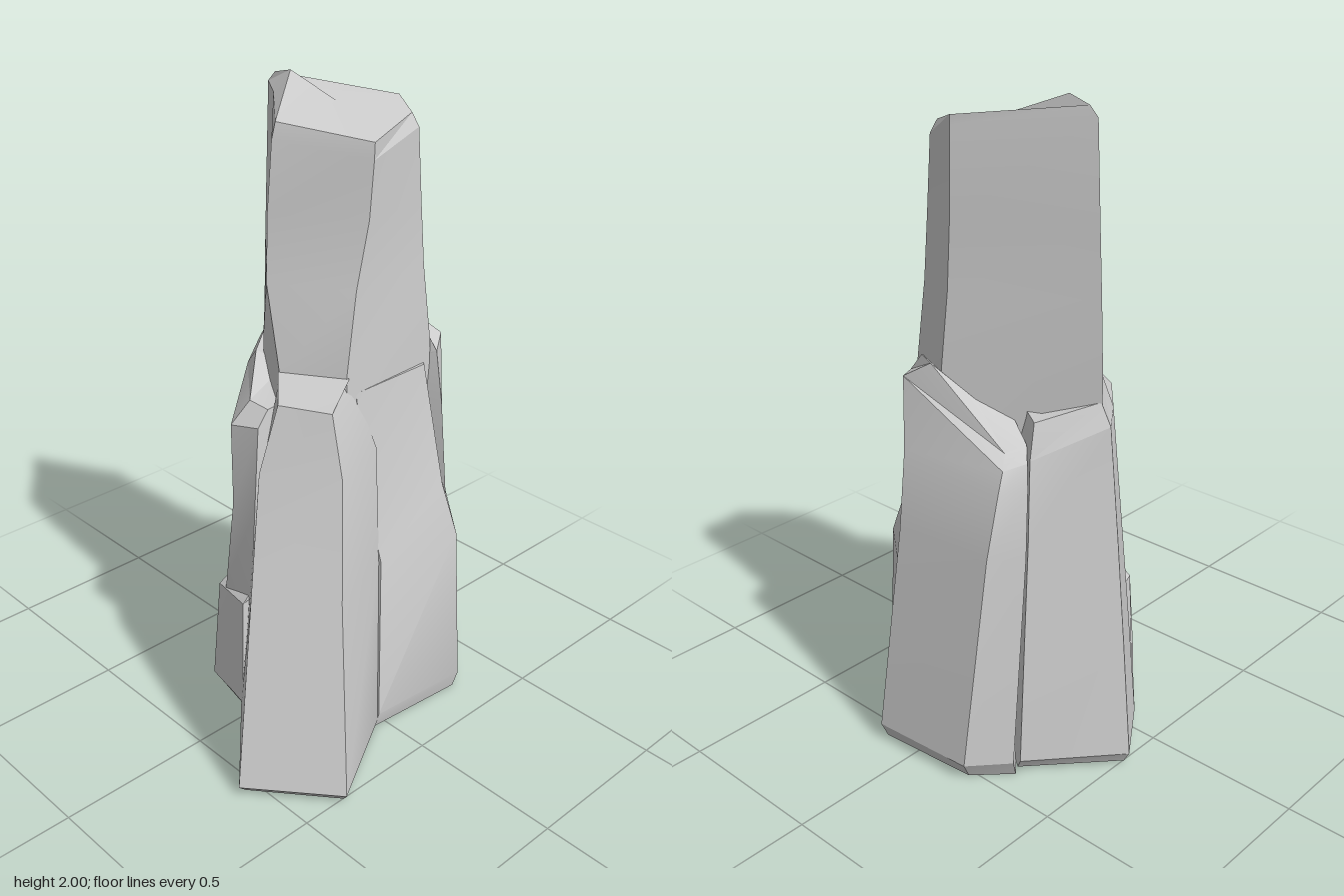
import * as THREE from 'three';
import { toCreasedNormals } from 'three/addons/utils/BufferGeometryUtils.js';

const material = new THREE.MeshStandardMaterial({ color: 0xcccccc });

// Skin a closed rock chunk over rings listed bottom to top; each ring runs
// counterclockwise seen from above and every point is [x, y, z].
function chunk(name, rings) {
  const n = rings[0].length;
  const positions = rings.flat(2);
  const index = [];
  for (let r = 0; r < rings.length - 1; r++) {
    for (let i = 0; i < n; i++) {
      const j = (i + 1) % n;
      const a = r * n + i, b = r * n + j;
      index.push(a, b, b + n, a, b + n, a + n);
    }
  }
  // end caps fan out from the middle of the ring
  const cap = (r, up) => {
    const centre = positions.length / 3;
    for (let k = 0; k < 3; k++) positions.push(rings[r].reduce((s, p) => s + p[k], 0) / n);
    for (let i = 0; i < n; i++) {
      const a = r * n + i, b = r * n + (i + 1) % n;
      index.push(centre, up ? a : b, up ? b : a);
    }
  };
  cap(0, false);
  cap(rings.length - 1, true);
  const geometry = new THREE.BufferGeometry();
  geometry.setAttribute('position', new THREE.Float32BufferAttribute(positions, 3));
  geometry.setIndex(index);
  const mesh = new THREE.Mesh(toCreasedNormals(geometry, 0.38), material);
  mesh.name = name;
  return mesh;
}

// A level ring from [x, z] pairs
const level = (y, ...points) => points.map(([x, z]) => [x, y, z]);

export function createModel() {
  const model = new THREE.Group();
  model.name = 'rockPillar';

  // Tall upper shaft with a slanted top
  model.add(chunk('shaft', [
    level(0.5, [0.02, 0.2], [0.22, 0.04], [0.2, -0.3], [0.04, -0.38], [-0.34, -0.12], [-0.2, 0.04]),
    level(1.2, [0.02, 0.16], [0.19, 0.05], [0.17, -0.33], [0.03, -0.37], [-0.365, -0.12], [-0.2, 0.03]),
    level(1.45, [-0.06, 0.135], [0.165, -0.01], [0.15, -0.31], [0.02, -0.345], [-0.355, -0.12], [-0.225, -0.01]),
    level(1.65, [-0.075, 0.115], [0.163, -0.06], [0.14, -0.3], [0.02, -0.33], [-0.345, -0.12], [-0.24, -0.04]),
    [[-0.08, 1.86, 0.09], [0.163, 1.82, -0.075], [0.13, 1.87, -0.29], [0.02, 1.91, -0.32], [-0.335, 1.95, -0.125], [-0.25, 1.94, -0.07]],
    [[-0.08, 1.91, 0.075], [0.16, 1.87, -0.08], [0.11, 1.91, -0.28], [0.02, 1.94, -0.32], [-0.31, 1.98, -0.13], [-0.23, 2, -0.12]],
  ]));

  // Sloping buttress running out to the front corner
  model.add(chunk('buttress', [
    level(0.005, [0.27, 0.54], [0.5, 0.35], [0.33, 0.04], [-0.02, 0.29]),
    level(0.035, [0.275, 0.57], [0.525, 0.36], [0.34, 0.04], [-0.02, 0.31]),
    level(0.6, [0.175, 0.42], [0.385, 0.25], [0.27, -0.02], [0, 0.26]),
    level(0.95, [0.1, 0.315], [0.3, 0.17], [0.22, -0.05], [0, 0.2]),
    level(1.14, [0.09, 0.23], [0.24, 0.155], [0.18, 0], [0, 0.15]),
    level(1.2, [0.02, 0.165], [0.2, 0.05], [0.15, 0], [0, 0.1]),
  ]));

  // Broad shoulder on the other front side
  model.add(chunk('shoulder', [
    level(0.015, [-0.02, 0.29], [0.15, -0.1], [-0.29, -0.4], [-0.51, -0.16], [-0.39, 0.02], [-0.2, 0.25]),
    level(0.05, [-0.02, 0.31], [0.15, -0.1], [-0.31, -0.41], [-0.53, -0.16], [-0.4, 0.03], [-0.2, 0.27]),
    level(0.42, [-0.01, 0.265], [0.12, -0.1], [-0.3, -0.38], [-0.48, -0.14], [-0.36, 0.03], [-0.16, 0.24]),
    level(0.75, [0, 0.25], [0.1, -0.1], [-0.28, -0.34], [-0.44, -0.13], [-0.33, 0.02], [-0.09, 0.26]),
    [[0, 1.03, 0.23], [0.08, 1.04, -0.1], [-0.26, 1, -0.31], [-0.405, 1.09, -0.13], [-0.3, 1.08, 0.01], [-0.09, 1.02, 0.26]],
    [[0, 1.08, 0.19], [0.05, 1.14, -0.1], [-0.24, 1.1, -0.27], [-0.36, 1.15, -0.12], [-0.2, 1.17, 0.06], [-0.07, 1.09, 0.2]],
  ]));

  // Block bulging out at the foot of the shoulder
  model.add(chunk('footBlock', [
    level(0.01, [-0.01, 0.29], [-0.05, 0], [-0.38, -0.02], [-0.2, 0.25]),
    level(0.05, [-0.01, 0.31], [-0.05, 0], [-0.4, 0.02], [-0.2, 0.275]),
    [[-0.02, 0.42, 0.29], [-0.05, 0.45, 0], [-0.3, 0.38, 0], [-0.21, 0.38, 0.23]],
    [[-0.03, 0.45, 0.24], [-0.06, 0.46, 0], [-0.26, 0.41, 0], [-0.2, 0.4, 0.18]],
  ]));

  // Wide back and side mass, ending in a ledge
  model.add(chunk('sideMass', [
    level(0.005, [0.33, 0.04], [0.36, -0.3], [0.13, -0.54], [-0.2, -0.3], [-0.1, 0.1]),
    level(0.06, [0.345, 0.04], [0.372, -0.31], [0.13, -0.56], [-0.2, -0.3], [-0.1, 0.1]),
    level(0.58, [0.28, -0.02], [0.325, -0.32], [0.11, -0.49], [-0.2, -0.28], [-0.1, 0.1]),
    level(0.74, [0.24, -0.01], [0.265, -0.31], [0.1, -0.46], [-0.2, -0.26], [-0.1, 0.1]),
    level(1.14, [0.19, 0.01], [0.185, -0.29], [0.08, -0.36], [-0.2, -0.2], [-0.1, 0.05]),
  ]));

  // Upright slab leaning on the back, with a slanting top edge
  model.add(chunk('backSlab', [
    level(0.005, [0.33, -0.31], [0.13, -0.55], [-0.2, -0.52], [-0.3, -0.42], [-0.1, -0.2]),
    level(0.06, [0.35, -0.32], [0.13, -0.575], [-0.21, -0.55], [-0.31, -0.44], [-0.1, -0.2]),
    level(0.72, [0.26, -0.33], [0.11, -0.48], [-0.22, -0.45], [-0.29, -0.36], [-0.1, -0.2]),
    [[0.23, 1, -0.33], [0.11, 0.97, -0.45], [-0.23, 0.92, -0.41], [-0.27, 0.92, -0.33], [-0.1, 1, -0.2]],
    [[0.19, 1.17, -0.34], [0.13, 1.19, -0.425], [-0.22, 0.98, -0.38], [-0.25, 0.99, -0.31], [-0.08, 1.08, -0.2]],
    [[0.14, 1.23, -0.34], [0.05, 1.24, -0.39], [-0.2, 1.02, -0.35], [-0.22, 1.03, -0.28], [-0.05, 1.15, -0.22]],
  ]));

  return model;
}
